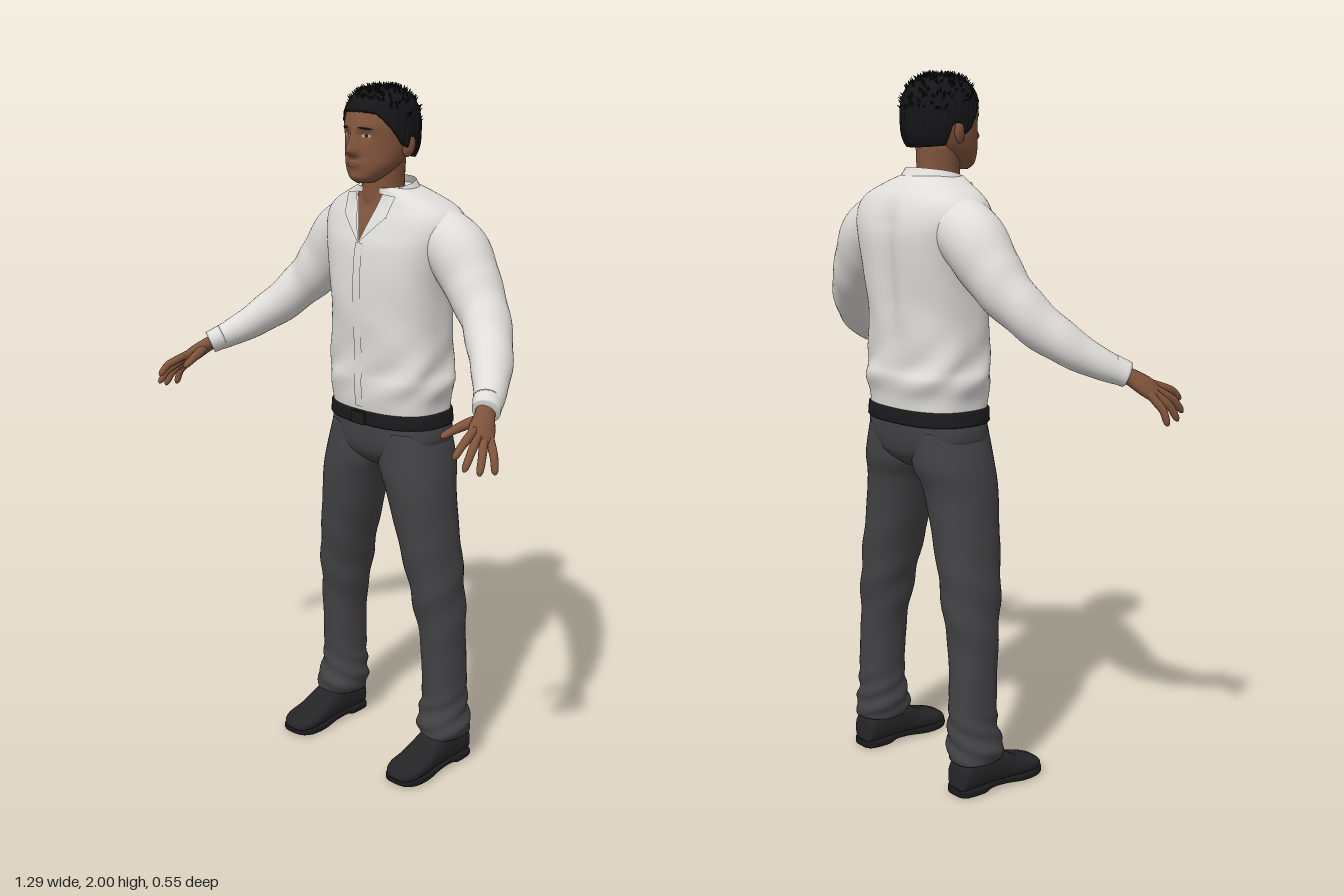
import * as THREE from 'three';
import { mergeGeometries } from 'three/addons/utils/BufferGeometryUtils.js';

const mat = (name, color) => Object.assign(new THREE.MeshStandardMaterial({ color, side: THREE.DoubleSide }), { name });
const M = {
  skin: mat('skin', 0x80543b), shirt: mat('shirt', 0xdfdeda), trousers: mat('trousers', 0x424244),
  belt: mat('belt', 0x1b1b1d), shoe: mat('shoe leather', 0x252527), hair: mat('hair', 0x151517),
  lips: mat('lips', 0x74443a), eye: mat('eye white', 0xbdb4aa), iris: mat('iris', 0x2a1c15),
};
const clamp = THREE.MathUtils.clamp, bump = (d, w) => Math.exp(-((d / w) ** 2));
const spow = (v, p) => Math.sign(v) * Math.abs(v) ** (2 / p);

// Catmull-Rom resampling of rows of numbers
function smooth(rows, k = 5) {
  const out = [], last = rows.length - 1;
  for (let j = 0; j <= last * k; j++) {
    const i = Math.min(Math.floor(j / k), last - 1), t = j / k - i;
    const [a, b, c, d] = [-1, 0, 1, 2].map(o => rows[clamp(i + o, 0, last)]);
    out.push(b.map((v, q) => v + 0.5 * t * (c[q] - a[q] + t * (2 * a[q] - 5 * v + 4 * c[q] - d[q] + t * (3 * (v - c[q]) + d[q] - a[q])))));
  }
  return out;
}

// Closed skin through rings of points, capped at both ends and turned outwards
function surface(rows, n, point) {
  const pos = [], idx = [], m = rows.length;
  rows.forEach((r, i) => { for (let j = 0; j < n; j++) pos.push(...point(r, j / n * Math.PI * 2, i)); });
  for (let i = 0; i < m - 1; i++) for (let j = 0; j < n; j++) {
    const a = i * n + j, b = i * n + (j + 1) % n;
    idx.push(a, a + n, b, b, a + n, b + n);
  }
  [0, m - 1].forEach((r, e) => {
    const c = [0, 0, 0];
    for (let j = 0; j < n; j++) for (let q = 0; q < 3; q++) c[q] += pos[(r * n + j) * 3 + q] / n;
    pos.push(...c);
    for (let j = 0; j < n; j++) {
      const a = r * n + j, b = r * n + (j + 1) % n;
      idx.push(m * n + e, ...(e ? [b, a] : [a, b]));
    }
  });
  const v = i => new THREE.Vector3().fromArray(pos, i * 3);
  let vol = 0;
  for (let i = 0; i < idx.length; i += 3) vol += v(idx[i]).dot(v(idx[i + 1]).cross(v(idx[i + 2])));
  if (vol < 0) idx.reverse();
  const g = new THREE.BufferGeometry();
  g.setAttribute('position', new THREE.Float32BufferAttribute(pos, 3));
  g.setIndex(idx);
  g.computeVertexNormals();
  return g;
}

// Horizontal body ring: [y, xMin, xMax, zFront, zBack]
const ring = (p, s = 1) => ([y, x0, x1, f, b], a) =>
  [s * ((x0 + x1) / 2 + (x1 - x0) / 2 * spow(Math.cos(a), p)), y, (f + b) / 2 + (f - b) / 2 * spow(Math.sin(a), p)];
const sym = rows => smooth(rows.map(([y, x, f, b]) => [y, -x, x, f, b]));
function frontZ(rows, x, y, p) {
  let i = 0;
  while (i < rows.length - 2 && rows[i + 1][0] < y) i++;
  const t = clamp((y - rows[i][0]) / (rows[i + 1][0] - rows[i][0]), 0, 1);
  const [, , rx, f, b] = rows[i].map((v, q) => v + (rows[i + 1][q] - v) * t);
  return (f + b) / 2 + (f - b) / 2 * Math.max(0, 1 - Math.abs(x / rx) ** p) ** (1 / p);
}

// Limb along rows [x, y, z, radius across the hand, radius through it]
function limb(rows, s, n = 20, k = 5, fold = () => 0) {
  const R = smooth(rows, k), V = r => new THREE.Vector3(r[0], r[1], r[2]);
  return surface(R, n, (r, a, i) => {
    const t = V(R[Math.min(i + 1, R.length - 1)]).sub(V(R[Math.max(i - 1, 0)])).normalize();
    const u = new THREE.Vector3(0.426, -0.387, -0.81);
    u.addScaledVector(t, -u.dot(t)).normalize();
    const w = t.clone().cross(u), f = 1 + fold(i, a);
    const p = V(r).addScaledVector(u, Math.cos(a) * r[3] * f).addScaledVector(w, Math.sin(a) * r[4] * f);
    return [s * p.x, p.y, p.z];
  });
}

const torsoRows = sym([[1.078, .184, .005, -.25], [1.12, .186, .012, -.254], [1.17, .197, .016, -.266], [1.22, .19, .012, -.255],
  [1.35, .183, .02, -.262], [1.45, .19, .022, -.272], [1.55, .212, .014, -.278], [1.6, .225, 0, -.272], [1.64, .222, -.014, -.258],
  [1.67, .195, -.026, -.24], [1.7, .135, -.032, -.21], [1.72, .085, -.03, -.185]]);
const headRows = sym([[1.735, .024, .016, -.04], [1.75, .048, .031, -.065], [1.78, .074, .033, -.11], [1.81, .085, .032, -.14],
  [1.85, .091, .032, -.165], [1.89, .094, .034, -.175], [1.93, .091, .022, -.172], [1.96, .076, 0, -.155], [1.98, .048, -.032, -.12]]);

// Nose, sockets, mouth, chin and brow relief
function relief(x, y) {
  const nose = .034 * clamp((1.885 - y) / .06, 0, 1) * clamp((y - 1.804) / .016, 0, 1);
  const ax = Math.abs(x);
  return nose * bump(x, .011 + .1 * clamp(1.88 - y, 0, .06)) - .009 * bump(ax - .034, .018) * bump(y - 1.865, .014)
    + .007 * bump(x, .024) * bump(y - 1.785, .013) + .005 * bump(x, .02) * bump(y - 1.752, .012) + .004 * bump(ax - .03, .03) * bump(y - 1.887, .009);
}
const faceZ = (x, y) => frontZ(headRows, x, y, 2) + relief(x, y);

export function createModel() {
  const root = new THREE.Group();
  const add = (name, g, m) => {
    const mesh = new THREE.Mesh(g, m);
    mesh.name = name;
    root.add(mesh);
    return mesh;
  };

  // Shirt body with gathered waist and a groove down the back
  const body = ring(2.5);
  add('shirtBody', surface(torsoRows, 80, (r, a) => {
    const [x, y, z] = body(r, a), back = Math.sin(a) < 0 ? 1 : 0;
    const f = 1 + .03 * bump(y - 1.2, .07) * Math.sin(6 * a + 45 * y) + .015 * bump(y - 1.36, .1) * Math.sin(4 * a - 22 * y);
    return [x * f, y, -.12 + (z + .12) * f + back * .018 * bump(x, .035) * clamp((y - 1.25) * 8, 0, 1) * clamp((1.68 - y) * 12, 0, 1)];
  }), M.shirt);

  // Plate lying on the chest: spans two edges given as functions of t
  const chest = (left, right, lift) => {
    const g = new THREE.PlaneGeometry(1, 1, 8, 12), p = g.attributes.position;
    for (let i = 0; i < p.count; i++) {
      const u = p.getX(i) + .5, t = .5 - p.getY(i), [a, b] = [left(t), right(t)];
      const x = a[0] + (b[0] - a[0]) * u, y = a[1] + (b[1] - a[1]) * u;
      p.setXYZ(i, x, y, frontZ(torsoRows, x, y, 2.5) + lift);
    }
    g.computeVertexNormals();
    return g;
  };
  add('openNeck', chest(t => [-.05 * (1 - t), 1.705 - .135 * t], t => [.05 * (1 - t), 1.705 - .135 * t], .004), M.skin);
  add('placket', chest(t => [-.014, 1.57 - .47 * t], t => [.014, 1.57 - .47 * t], .004), M.shirt);

  // Collar band, folded leaf and lapels
  const collar = new THREE.PlaneGeometry(2, 1, 40, 6), cp = collar.attributes.position;
  for (let i = 0; i < cp.count; i++) {
    const t = cp.getX(i), v = .5 - cp.getY(i), e = t * t, th = t * 2.6, r = .074 + .034 * v;
    cp.setXYZ(i, (r + .012) * Math.sin(th), 1.742 - .035 * e - v * (.058 + .012 * e), -.098 - (r + .002) * Math.cos(th));
  }
  collar.computeVertexNormals();
  add('collar', collar, M.shirt);
  for (const s of [-1, 1]) {
    const inner = t => [s * .05 * (1 - t), 1.705 - .135 * t];
    const outer = t => t < .5 ? [s * (.09 - .02 * t), 1.7 - .11 * t] : [s * .16 * (1 - t), 1.645 - .15 * (t - .5)];
    add('lapel', s > 0 ? chest(inner, outer, .009) : chest(outer, inner, .009), M.shirt);
  }

  // Neck and head
  add('neck', surface(sym([[1.6, .065, -.03, -.16], [1.68, .06, -.022, -.15], [1.73, .058, -.022, -.145], [1.8, .064, -.02, -.145]]), 32, ring(2)), M.skin);
  const skull = ring(2);
  add('head', surface(headRows, 112, (r, a) => {
    const [x, y, z] = skull(r, a);
    return [x, y, z + (Math.sin(a) > 0 ? relief(x, y) : 0)];
  }), M.skin);

  // Thin facial details following the face
  const patch = (name, m, x, y, w, h, tilt = 0, lift = .0015) => {
    const g = new THREE.RingGeometry(0, 1, 20, 4), p = g.attributes.position;
    for (let i = 0; i < p.count; i++) {
      const px = x + p.getX(i) * w, py = y + p.getY(i) * h + p.getX(i) * w * tilt;
      p.setXYZ(i, px, py, faceZ(px, py) + lift);
    }
    g.computeVertexNormals();
    add(name, g, m);
  };
  for (const s of [-1, 1]) {
    patch('eye', M.eye, s * .035, 1.864, .013, .005);
    patch('iris', M.iris, s * .035, 1.864, .005, .005, 0, .0025);
    patch('eyebrow', M.hair, s * .037, 1.884, .019, .0035, -s * .12);
    const ear = add('ear', new THREE.SphereGeometry(1, 16, 12), M.skin);
    ear.scale.set(.011, .031, .019);
    ear.position.set(s * .094, 1.835, -.085);
    ear.rotation.set(-.2, -s * .3, -s * .12);
  }
  patch('lips', M.lips, 0, 1.786, .025, .008);

  // Hair cap with a shaped hairline (position from back to front against height)
  const line = [[-1, 1.795], [-.45, 1.8], [-.3, 1.86], [-.1, 1.86], [.02, 1.828], [.2, 1.84], [.5, 1.885], [.8, 1.925], [1, 1.93]];
  const hairline = f => {
    const i = clamp(line.findIndex(q => q[0] >= f), 1, line.length - 1), [a, b] = [line[i - 1], line[i]];
    return a[1] + (b[1] - a[1]) * clamp((f - a[0]) / (b[0] - a[0]), 0, 1);
  };
  const hairPoint = (t, a) => {
    const yb = hairline(Math.sin(a)), y = yb + (1.9895 - yb) * Math.sin(t * Math.PI / 2);
    const k = (1 - Math.abs((y - 1.875) / .115) ** 2.6) ** (1 / 2.6) * (1 + .015 * Math.sin(a * 31 + t * 9));
    return [.104 * k * Math.cos(a), y, -.077 + .113 * k * Math.sin(a)];
  };
  add('hair', surface(Array.from({ length: 25 }, (_, i) => i / 24), 96, hairPoint), M.hair);
  let seed = 7;
  const rnd = () => (seed = seed * 16807 % 2147483647) / 2147483647;
  const tufts = [], up = new THREE.Vector3(0, 1, 0);
  for (let i = 0; i < 260; i++) {
    const p = new THREE.Vector3(...hairPoint(.35 + .62 * rnd(), rnd() * Math.PI * 2));
    const d = p.clone().sub(new THREE.Vector3(0, 1.87, -.077)).normalize().add(new THREE.Vector3(rnd() - .5, rnd() * .3, rnd() * .8 - .3)).normalize();
    const q = new THREE.Quaternion().setFromUnitVectors(up, d);
    tufts.push(new THREE.ConeGeometry(.007, .026, 5).applyMatrix4(new THREE.Matrix4().compose(p, q, new THREE.Vector3(1, 1, 1))));
  }
  add('hairTufts', mergeGeometries(tufts), M.hair);

  // Hips, belt and buckle
  add('hips', surface(sym([[.915, .05, -.05, -.19], [.95, .14, -.012, -.232], [1, .194, 0, -.247], [1.075, .185, 0, -.25]]), 56, ring(2.5)), M.trousers);
  add('belt', surface([[1.046, -.192, .192, .007, -.254], [1.05, -.195, .195, .011, -.257], [1.084, -.191, .191, .012, -.256], [1.088, -.187, .187, .008, -.253]], 56, ring(2.5)), M.belt);
  add('buckle', new THREE.BoxGeometry(.05, .036, .009), M.belt).position.set(0, 1.066, .014);

  for (const s of [-1, 1]) {
    // Sleeve with soft folds, then cuff
    add('sleeve', limb([[.14, 1.6, -.14, .09, .085], [.225, 1.55, -.145, .09, .09], [.29, 1.47, -.135, .08, .08], [.36, 1.39, -.108, .07, .066],
      [.435, 1.31, -.045, .062, .056], [.5, 1.25, .032, .047, .043], [.545, 1.215, .1, .037, .032]], s, 32, 8,
      (i, a) => .03 * Math.sin(i * .75 + 2 * Math.sin(a)) * bump(i - 28, 14)), M.shirt);
    add('cuff', limb([[.526, 1.23, .072, .041, .036], [.549, 1.212, .106, .038, .033]], s), M.shirt);

    // Hand: palm, four fingers and thumb
    add('palm', limb([[.53, 1.226, .08, .027, .021], [.553, 1.205, .115, .028, .02], [.572, 1.183, .145, .036, .019],
      [.585, 1.165, .17, .037, .015], [.59, 1.158, .18, .026, .008]], s), M.skin);
    const tips = [[.587, 1.13, .274], [.61, 1.1, .26], [.628, 1.084, .222], [.638, 1.078, .172]];
    tips.forEach((tip, k) => {
      const o = -.027 + k * .018, b = [.585 + .426 * o, 1.166 - .387 * o, .168 - .81 * o];
      const at = (t, r, c = 0) => [...b.map((v, q) => v + (tip[q] - v) * t + c * [.006, .009, .003][q]), r, r];
      add('finger', limb([at(-.15, .011), at(.3, .0115, .7), at(.6, .0105, 1), at(.9, .009, .3), at(1, .003)], s, 12, 4), M.skin);
    });
    add('thumb', limb([[.555, 1.2, .12, .014, .014], [.538, 1.19, .16, .0145, .0145], [.524, 1.178, .2, .0115, .0115],
      [.515, 1.167, .23, .009, .009], [.513, 1.164, .237, .003, .003]], s, 12, 4), M.skin);

    // Trouser leg, creased at the hem
    const leg = ring(2.2, s);
    add('trouserLeg', surface(smooth([[1.03, .005, .185, -.01, -.235], [.93, .001, .214, -.004, -.236], [.86, .032, .225, -.005, -.218], [.75, .066, .237, -.015, -.212],
      [.6, .108, .255, -.03, -.212], [.5, .126, .265, -.046, -.208], [.4, .144, .27, -.06, -.202], [.25, .15, .274, -.068, -.206],
      [.18, .144, .28, -.064, -.207], [.13, .14, .293, -.05, -.211], [.095, .152, .287, -.054, -.211]], 6), 40, (r, a) => {
      const [x, y, z] = leg(r, a), w = .004 * bump(y - .16, .09) * Math.sin(y * 110 + 3 * a) + .003 * bump(y - .55, .15) * Math.sin(y * 45 + 2 * a);
      return [x + w * Math.cos(a) * s, y, z + w * Math.sin(a)];
    }), M.trousers);

    // Shoe upper and sole: rows [z, half width, top, bottom]
    const section = p => ([z, w, top, bot], a) => [s * .222 + w * spow(Math.cos(a), p), (top + bot) / 2 + (top - bot) / 2 * spow(Math.sin(a), p), z];
    add('shoeUpper', surface(smooth([[-.207, .026, .06, .01], [-.195, .043, .1, .01], [-.12, .05, .13, .01], [-.05, .052, .1, .01], [0, .056, .07, .01],
      [.05, .055, .055, .01], [.08, .041, .044, .01], [.092, .018, .03, .01]]), 32, section(2.6)), M.shoe);
    add('shoeSole', surface(smooth([[-.211, .028, .02, 0], [-.195, .045, .022, 0], [-.14, .05, .022, 0], [-.11, .049, .022, .009], [-.06, .051, .021, .007],
      [0, .059, .02, 0], [.05, .058, .02, 0], [.082, .043, .021, .003], [.096, .018, .022, .008]]), 32, section(6)), M.belt);
  }
  return root;
}
